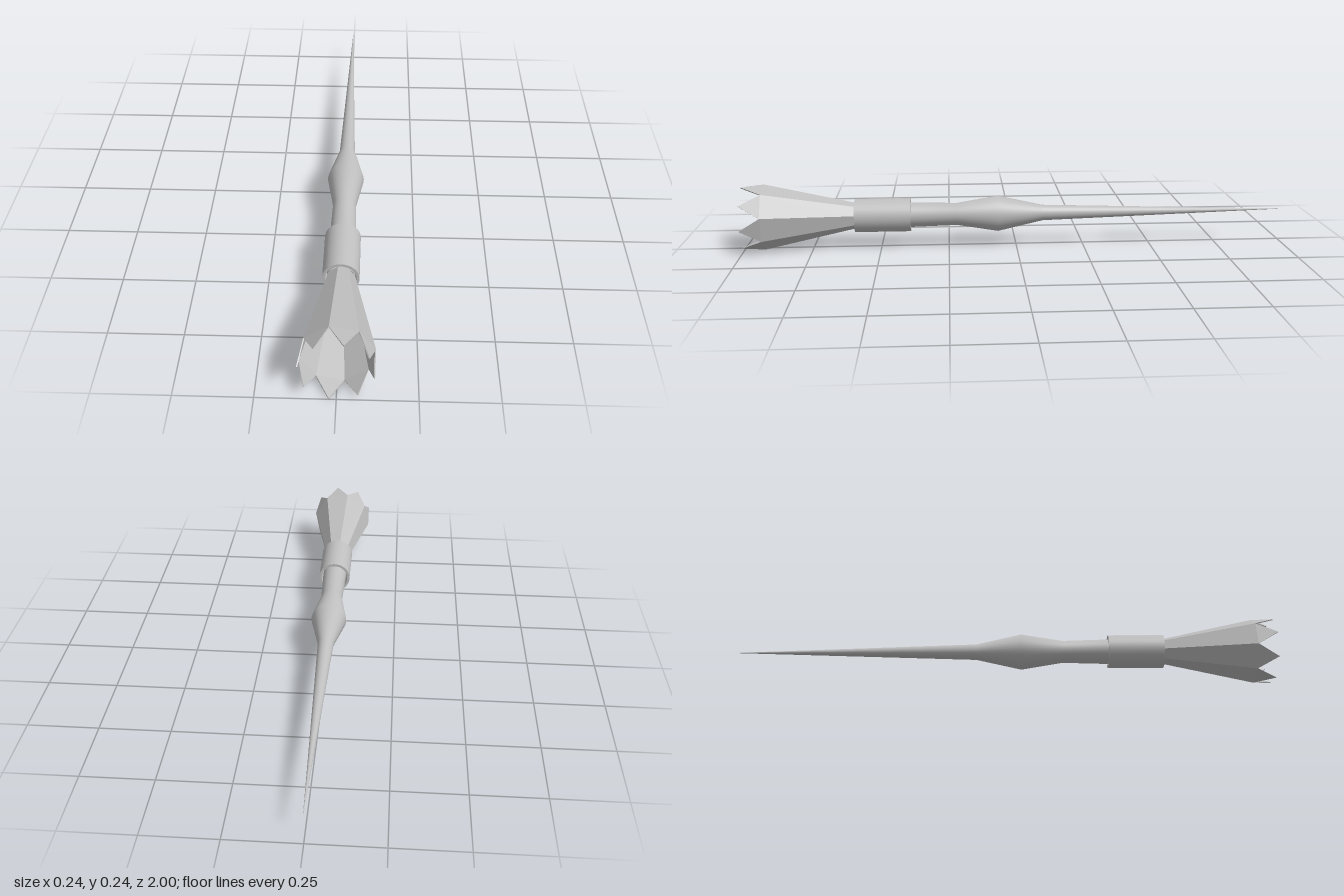
import * as THREE from 'three';

const PETALS = 8;
const CENTRE_Y = 0.118;

// Point on a circle around the z axis
const polar = (r, angle, z) => new THREE.Vector3(r * Math.cos(angle), r * Math.sin(angle), z);

// Surface of revolution around z; profile entries are [radius, z]
function turned(profile, segments) {
  const geo = new THREE.LatheGeometry(profile.map(([r, z]) => new THREE.Vector2(r, z)), segments);
  return geo.rotateX(Math.PI / 2);
}

// One flat-faced petal: narrow base, two shoulders and a pointed tip, with a thin wall
function petalGeometry(mid) {
  const half = Math.PI / PETALS;
  const loop = (inset) => [
    polar(0.047 - inset, mid - half, 0.59),
    polar(0.12 - inset, mid - half, 0.925),
    polar(0.12 - inset, mid, 1),
    polar(0.12 - inset, mid + half, 0.925),
    polar(0.047 - inset, mid + half, 0.59),
  ];
  const outer = loop(0);
  const inner = loop(0.004);
  const points = [];
  const tri = (a, b, c) => points.push(a, b, c);
  for (const [a, b, c] of [[0, 3, 1], [0, 4, 3], [1, 3, 2]]) {
    tri(outer[a], outer[c], outer[b]);
    tri(outer[a], outer[b], outer[c]);
    tri(inner[a], inner[c], inner[b]);
  }
  points.splice(0, points.length);
  for (const [a, b, c] of [[0, 3, 1], [0, 4, 3], [1, 3, 2]]) {
    tri(outer[a], outer[b], outer[c]);
    tri(inner[a], inner[c], inner[b]);
  }
  // Rim along the pointed end
  for (const i of [1, 2]) {
    tri(outer[i], outer[i + 1], inner[i + 1]);
    tri(outer[i], inner[i + 1], inner[i]);
  }
  const geo = new THREE.BufferGeometry().setFromPoints(points);
  geo.computeVertexNormals();
  return geo;
}

export function createModel() {
  const model = new THREE.Group();
  model.name = 'dart';
  const grey = new THREE.MeshStandardMaterial({ color: 0xc0c0c0, side: THREE.DoubleSide });
  grey.name = 'grey';

  const add = (name, geometry, parent) => {
    const mesh = new THREE.Mesh(geometry, grey);
    mesh.name = name;
    parent.add(mesh);
  };

  const body = new THREE.Group();
  body.name = 'body';
  body.position.y = CENTRE_Y;
  model.add(body);

  // Hollow shaft: needle point, swollen grip, waist and socket
  add('shaft', turned([
    [0.0005, -1], [0.029, -0.1], [0.066, 0.067], [0.041, 0.22], [0.046, 0.4], [0.046, 0.59],
  ], 32), body);

  // Collar tube, one lathe per face so its edges stay sharp
  const collar = new THREE.Group();
  collar.name = 'collar';
  body.add(collar);
  const R = 0.0615, r = 0.052, back = 0.39, front = 0.595;
  add('collarOutside', turned([[R, back], [R, front]], 32), collar);
  add('collarInside', turned([[r, front], [r, back]], 32), collar);
  add('collarBackRim', turned([[r, back], [R, back]], 32), collar);
  add('collarFrontRim', turned([[R, front], [r, front]], 32), collar);

  // Flared ring of petals
  const flare = new THREE.Group();
  flare.name = 'flare';
  body.add(flare);
  for (let i = 0; i < PETALS; i++) {
    add('petal', petalGeometry(Math.PI * 7 / 16 + i * Math.PI * 2 / PETALS), flare);
  }
  return model;
}
